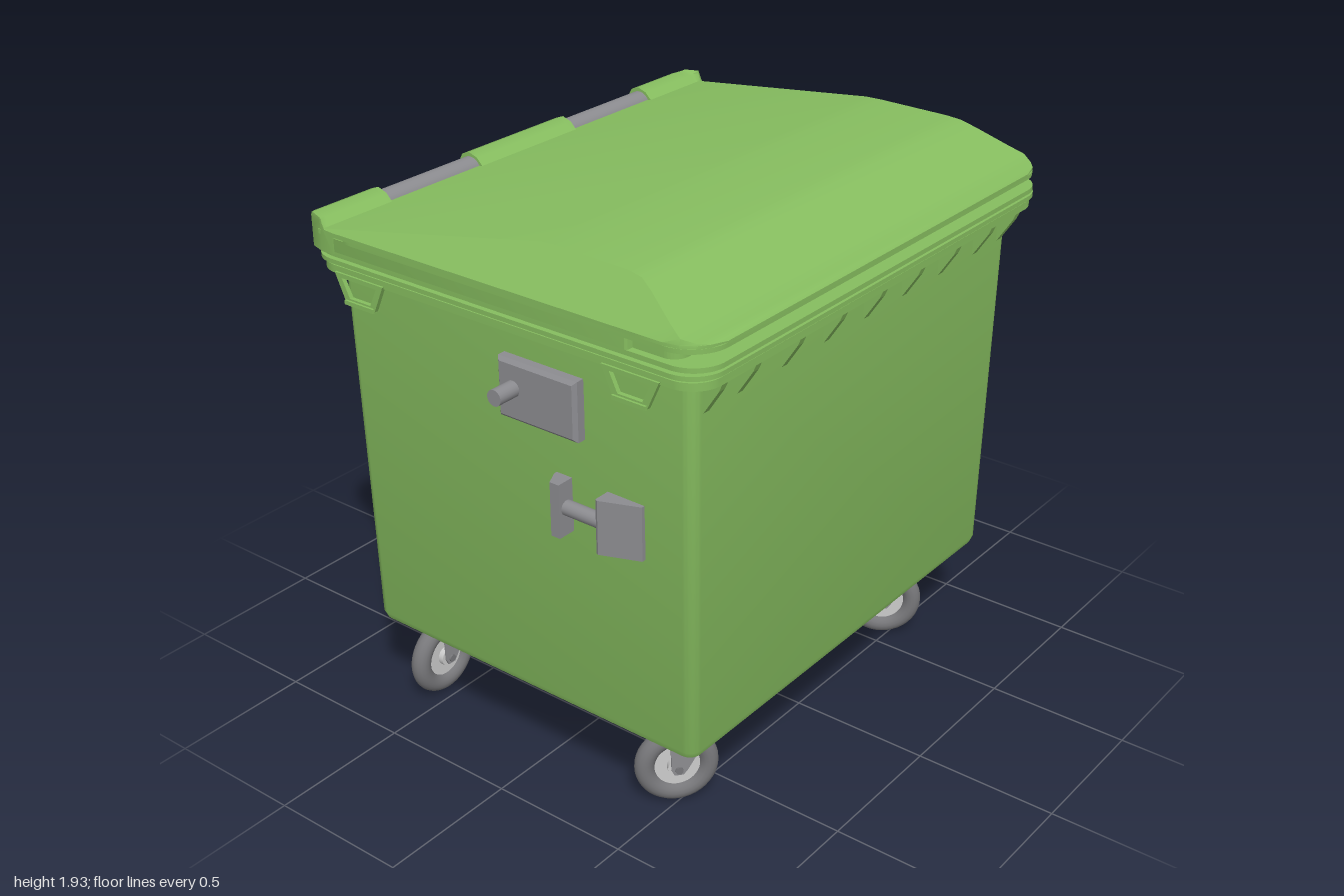
import * as THREE from 'three';
import { toCreasedNormals } from 'three/addons/utils/BufferGeometryUtils.js';

const paint = (color) => new THREE.MeshStandardMaterial({ color });
const GREEN = paint(0x86bd5f), STEEL = paint(0x8c8c90), DARK = paint(0x77777a), LIGHT = paint(0xcccccc);

function add(parent, name, geo, mat, x = 0, y = 0, z = 0) {
  const mesh = new THREE.Mesh(geo, mat);
  mesh.name = name;
  mesh.position.set(x, y, z);
  parent.add(mesh);
  return mesh;
}

const polygon = (pts) => new THREE.Shape(pts.map(([a, b]) => new THREE.Vector2(a, b)));

// Rounded rectangle seen from above; the shape's y is -z
function plan(hx, back, front, r) {
  const s = new THREE.Shape(), q = Math.PI / 2;
  s.absarc(hx - r, -back - r, r, 0, q);
  s.absarc(-hx + r, -back - r, r, q, 2 * q);
  s.absarc(-hx + r, -front + r, r, 2 * q, 3 * q);
  s.absarc(hx - r, -front + r, r, 3 * q, 4 * q);
  return s;
}

// Extrude a plan shape upwards from y0 to y1
function extrudeY(shape, y0, y1) {
  const g = new THREE.ExtrudeGeometry(shape, { depth: y1 - y0, bevelEnabled: false, curveSegments: 8 });
  return toCreasedNormals(g.rotateX(-Math.PI / 2).translate(0, y0, 0), 0.6);
}

// Extrude a (z, y) profile sideways from x0 to x1
function extrudeX(shape, x0, x1, bevel = 0, steps = 1) {
  const g = new THREE.ExtrudeGeometry(shape, {
    depth: x1 - x0 - 2 * bevel, steps, bevelEnabled: bevel > 0,
    bevelSize: bevel, bevelThickness: bevel, bevelOffset: -bevel, bevelSegments: 1,
  });
  return g.rotateY(-Math.PI / 2).translate(x1 - bevel, 0, 0);
}

// Skin a row of equal-length rings and cap both ends
function loft(rings, crease) {
  const n = rings[0].length, pos = rings.flat(2), idx = [];
  for (let i = 0; i < rings.length - 1; i++) {
    for (let j = 0; j < n; j++) {
      const a = i * n + j, b = i * n + (j + 1) % n;
      idx.push(a, b, a + n, b, b + n, a + n);
    }
  }
  const last = (rings.length - 1) * n;
  for (let j = 1; j < n - 1; j++) {
    idx.push(0, j + 1, j, last, last + j, last + j + 1);
  }
  const g = new THREE.BufferGeometry();
  g.setAttribute('position', new THREE.Float32BufferAttribute(pos, 3));
  g.setIndex(idx);
  return toCreasedNormals(g, crease);
}

function buildBody(root) {
  const body = new THREE.Group();
  body.name = 'body';
  root.add(body);
  // Tapered tub: height, half width, back, front
  const levels = [[0.335, 0.835, -0.655, 0.665], [0.342, 0.852, -0.672, 0.682], [0.365, 0.86, -0.68, 0.69], [1.68, 0.88, -0.7, 0.705]];
  add(body, 'tub', loft(levels.map(([y, hx, b, f]) =>
    plan(hx, b, f, 0.04).getPoints(5).map((p) => [p.x, y, -p.y])), 0.7), GREEN);
  const belly = polygon([[0.6, 0.345], [0.42, 0.325], [0.2, 0.317], [-0.2, 0.317], [-0.43, 0.322], [-0.47, 0.345]]);
  add(body, 'bellyPan', extrudeX(belly, -0.82, 0.82), GREEN);
  // Stepped rim
  add(body, 'rimLower', extrudeY(plan(0.95, -0.75, 0.78, 0.1), 1.662, 1.688), GREEN);
  add(body, 'rimGroove', extrudeY(plan(0.935, -0.735, 0.765, 0.09), 1.688, 1.697), GREEN);
  add(body, 'rimUpper', extrudeY(plan(0.96, -0.765, 0.79, 0.11), 1.697, 1.712), GREEN);
  // Gussets under the rim
  const rib = polygon([[0.69, 1.665], [0.775, 1.665], [0.76, 1.63], [0.705, 1.545], [0.69, 1.545]]);
  for (const x of [-0.82, -0.66, -0.44, -0.22, 0, 0.22, 0.44, 0.66, 0.82]) {
    add(body, 'frontRib', extrudeX(rib, x - 0.014, x + 0.014), GREEN);
  }
  const wedge = polygon([[-0.68, 1.665], [-0.76, 1.665], [-0.705, 1.55], [-0.68, 1.55]]);
  for (const s of [-1, 1]) add(body, 'hingeWedge', extrudeX(wedge, s * 0.45 - 0.21, s * 0.45 + 0.21), GREEN);
}

function buildLid(root) {
  const lid = new THREE.Group();
  lid.name = 'lid';
  root.add(lid);
  // Flange, wall set back at the front, and overhanging lip
  add(lid, 'lidFlange', extrudeY(plan(0.955, -0.76, 0.79, 0.11), 1.72, 1.736), GREEN);
  add(lid, 'lidSeal', extrudeY(plan(0.93, -0.73, 0.74, 0.09), 1.705, 1.722), GREEN);
  add(lid, 'lidWall', extrudeY(plan(0.955, -0.68, 0.53, 0.01), 1.736, 1.78), GREEN);
  add(lid, 'lidFrontWall', extrudeY(plan(0.93, 0.4, 0.69, 0.05), 1.736, 1.78), GREEN);
  add(lid, 'lidLip', extrudeY(plan(0.96, -0.69, 0.79, 0.13), 1.775, 1.79), GREEN);
  // Domed top: z and ridge height of each cross-section
  const ridge = [[-0.7, 1.801], [0.13, 1.928], [0.2, 1.93], [0.46, 1.925], [0.51, 1.918], [0.56, 1.895],
    [0.66, 1.842], [0.71, 1.818], [0.75, 1.805], [0.775, 1.801], [0.79, 1.795]];
  const rings = ridge.map(([z, h]) => {
    const w = 0.83 + Math.sqrt(Math.max(0, 0.0169 - Math.max(0, z - 0.66) ** 2));
    const top = Math.min(w - 0.004, 0.96 - 0.85 * Math.max(0, h - 1.8));
    const edge = Math.min(1.8, h - 0.001);
    return [[w, 1.785, z], [w, edge, z], [top, h, z], [-top, h, z], [-w, edge, z], [-w, 1.785, z]];
  });
  add(lid, 'lidDome', loft(rings, 0.6), GREEN);
  // Hinge roll with rounded outer corners
  const roll = polygon([[-0.64, 1.73], [-0.64, 1.8], [-0.68, 1.803], [-0.705, 1.828], [-0.74, 1.84], [-0.772, 1.828],
    [-0.79, 1.795], [-0.786, 1.755], [-0.765, 1.727]]);
  for (const [x0, x1] of [[-0.96, -0.66], [-0.24, 0.24], [0.66, 0.96]]) {
    const g = extrudeX(roll, x0, x1, 0, 16), p = g.attributes.position;
    for (let i = 0; i < p.count; i++) {
      const over = Math.max(0, Math.abs(p.getX(i)) - 0.86);
      p.setZ(i, Math.max(p.getZ(i), -0.69 - Math.sqrt(Math.max(0, 0.01 - over * over))));
    }
    add(lid, 'hingeRoll', toCreasedNormals(g, 0.8), GREEN);
  }
  for (const s of [-1, 1]) {
    add(lid, 'hingeBar', new THREE.CylinderGeometry(0.046, 0.046, 0.44, 24).rotateZ(Math.PI / 2), STEEL, s * 0.45, 1.78, -0.735);
  }
}

// Grip loops, lifting plate and bracket on one side (s = 1 or -1)
function buildSide(root, s) {
  const side = new THREE.Group();
  side.name = s > 0 ? 'leftFittings' : 'rightFittings';
  root.add(side);
  const span = (shape, a, b, bevel) => extrudeX(shape, Math.min(s * a, s * b), Math.max(s * a, s * b), bevel);
  for (const z of [0.54, -0.54]) {
    const loop = polygon([[z - 0.105, 1.67], [z - 0.062, 1.575], [z + 0.062, 1.575], [z + 0.105, 1.67]]);
    loop.holes.push(polygon([[z - 0.075, 1.655], [z - 0.045, 1.593], [z + 0.045, 1.593], [z + 0.075, 1.655]]));
    add(side, 'gripLoop', span(loop, 0.942, 0.957), GREEN);
    add(side, 'gripFoot', new THREE.BoxGeometry(0.03, 0.014, 0.124), GREEN, s * 0.95, 1.58, z);
  }
  const plate = polygon([[-0.01, 1.35], [0.3, 1.35], [0.3, 1.55], [-0.01, 1.55]]);
  add(side, 'liftPlate', span(plate, 0.865, 0.918, 0.012), STEEL);
  add(side, 'liftPin', new THREE.CylinderGeometry(0.027, 0.027, 0.1, 20).rotateZ(Math.PI / 2), STEEL, s * 0.95, 1.46, 0.055);
  // Bracket blocks in plan (x, z)
  const block = (pts) => extrudeY(polygon(pts.map(([x, z]) => [s * x, -z])), 1.015, 1.2);
  add(side, 'bracketFront', block([[0.86, 0.52], [0.885, 0.52], [0.935, 0.39], [0.93, 0.38], [0.86, 0.38]]), STEEL);
  add(side, 'bracketBack', block([[0.86, 0.24], [0.935, 0.24], [0.935, 0.205], [0.885, 0.18], [0.86, 0.18]]), STEEL);
  add(side, 'bracketBar', new THREE.CylinderGeometry(0.025, 0.025, 0.16, 20).rotateX(Math.PI / 2), STEEL, s * 0.9, 1.11, 0.31);
}

// Swivel caster: rolls along its own x, axle along its own z
function buildCaster(root, name, x, z, turn) {
  const c = new THREE.Group();
  c.name = name;
  c.position.set(x, 0, z);
  c.rotation.y = turn;
  root.add(c);
  const disc = (r, h) => new THREE.CylinderGeometry(r, r, h, 28);
  const wheel = (label, r, w, mat) => add(c, label, disc(r, w).rotateX(Math.PI / 2), mat, -0.06, 0.14, 0);
  add(c, 'swivelMount', disc(0.065, 0.045), LIGHT, 0, 0.3275, 0);
  add(c, 'swivelBearing', disc(0.05, 0.02), STEEL, 0, 0.3, 0);
  add(c, 'forkCrown', new THREE.BoxGeometry(0.15, 0.014, 0.092), STEEL, -0.015, 0.295, 0);
  const cheek = polygon([[0.06, 0.302], [-0.09, 0.302], [-0.085, 0.14], [-0.075, 0.12], [-0.045, 0.12], [-0.03, 0.14]]);
  for (const s of [-1, 1]) {
    const g = new THREE.ExtrudeGeometry(cheek, { depth: 0.007, bevelEnabled: false });
    add(c, 'forkCheek', g, STEEL, 0, 0, s * 0.0425 - 0.0035);
  }
  add(c, 'tyre', new THREE.TorusGeometry(0.106, 0.034, 16, 40), DARK, -0.06, 0.14, 0);
  wheel('wheelDisc', 0.085, 0.03, LIGHT);
  wheel('hub', 0.035, 0.07, LIGHT);
  wheel('axle', 0.013, 0.104, DARK);
}

export function createModel() {
  const root = new THREE.Group();
  root.name = 'wheeledWasteContainer';
  buildBody(root);
  buildLid(root);
  for (const s of [1, -1]) buildSide(root, s);
  buildCaster(root, 'frontLeftCaster', 0.61, 0.52, -0.96);
  buildCaster(root, 'frontRightCaster', -0.63, 0.52, -0.7);
  buildCaster(root, 'rearLeftCaster', 0.61, -0.56, 0);
  buildCaster(root, 'rearRightCaster', -0.63, -0.56, 0);
  return root;
}
